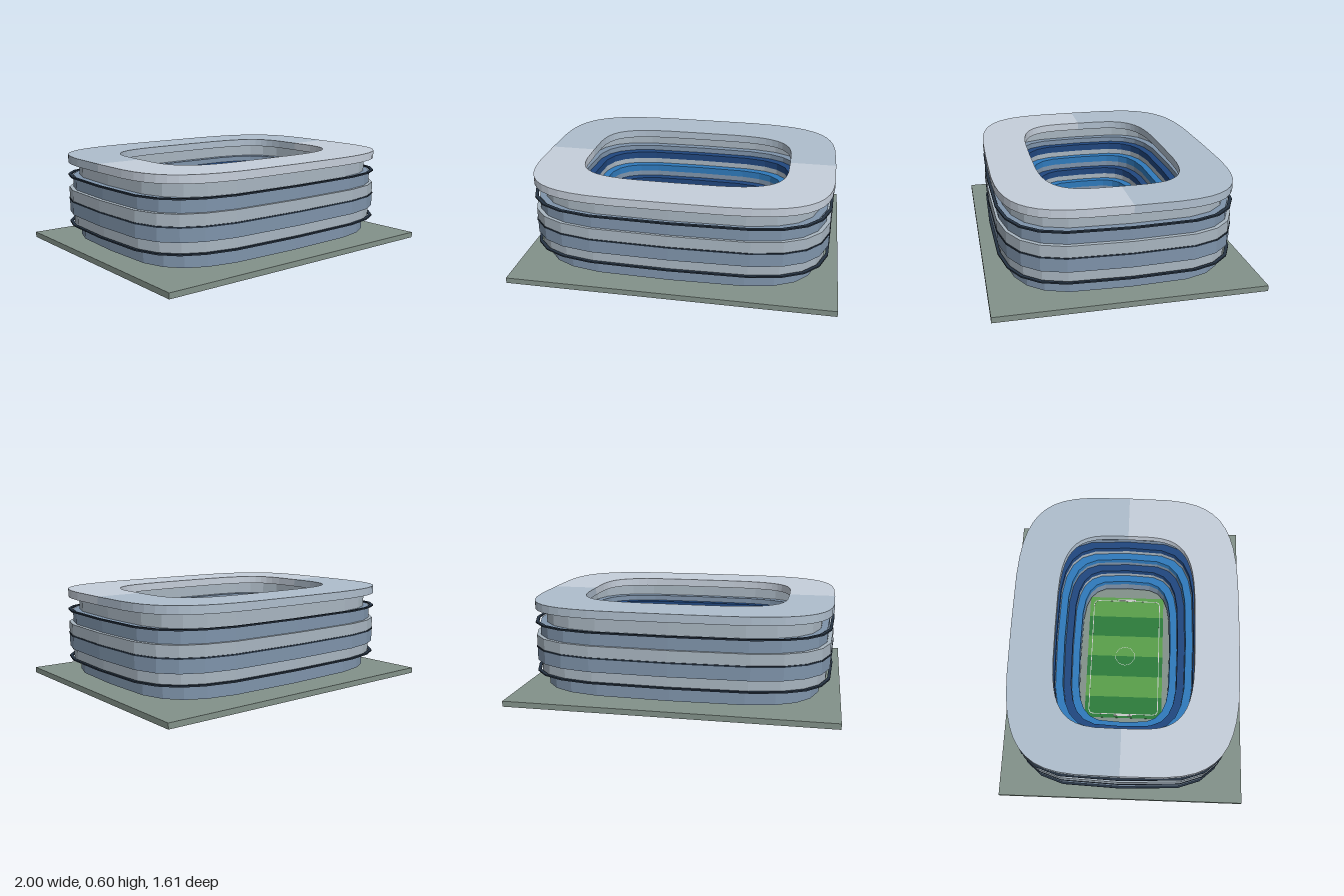
import * as THREE from 'three';

const POWER = 0.5; // roundness of the rounded-rectangle plan

function mat(color) {
  return new THREE.MeshStandardMaterial({ color, flatShading: true });
}

// Points of a superellipse from angle t0 to t1
function oval(a, b, n, t0 = 0, t1 = Math.PI * 2, closed = true) {
  const pts = [];
  const curve = (v) => (Math.abs(v) < 1e-9 ? 0 : Math.sign(v) * Math.abs(v) ** POWER);
  for (let i = 0; i < n + (closed ? 0 : 1); i++) {
    const t = t0 + ((t1 - t0) * i) / n;
    pts.push(new THREE.Vector2(a * curve(Math.cos(t)), b * curve(Math.sin(t))));
  }
  return pts;
}

// Stands a flat plan shape up as a slab from y to y + h
function slab(name, shape, y, h, material) {
  const geo = new THREE.ExtrudeGeometry(shape, { depth: h, bevelEnabled: false, curveSegments: 6 });
  geo.rotateX(-Math.PI / 2);
  geo.translate(0, y, 0);
  const mesh = new THREE.Mesh(geo, material);
  mesh.name = name;
  return mesh;
}

function ring(name, outer, inner, y, h, material) {
  const shape = new THREE.Shape(oval(...outer, 24));
  shape.holes.push(new THREE.Path(oval(...inner, 24)));
  return slab(name, shape, y, h, material);
}

function box(name, w, h, d, x, y, z, material) {
  const mesh = new THREE.Mesh(new THREE.BoxGeometry(w, h, d), material);
  mesh.name = name;
  mesh.position.set(x, y, z);
  return mesh;
}

function roundedRect(path, a, b, r) {
  path.moveTo(-a + r, -b);
  path.lineTo(a - r, -b);
  path.quadraticCurveTo(a, -b, a, -b + r);
  path.lineTo(a, b - r);
  path.quadraticCurveTo(a, b, a - r, b);
  path.lineTo(-a + r, b);
  path.quadraticCurveTo(-a, b, -a, b - r);
  path.lineTo(-a, -b + r);
  path.quadraticCurveTo(-a, -b, -a + r, -b);
  return path;
}

function createPitch() {
  const pitch = new THREE.Group();
  pitch.name = 'pitch';
  const greens = [mat(0x2d7c3b), mat(0x59a04a)];
  const white = mat(0xe8e8e8);

  for (let i = 0; i < 6; i++) {
    pitch.add(box('grassStripe', 0.15, 0.004, 0.53, -0.375 + i * 0.15, 0.035, 0, greens[i % 2]));
  }

  // Markings
  const border = roundedRect(new THREE.Shape(), 0.426, 0.24, 0.04);
  border.holes.push(roundedRect(new THREE.Path(), 0.421, 0.235, 0.036));
  pitch.add(slab('touchline', border, 0.036, 0.002, white));
  const circle = new THREE.Mesh(new THREE.RingGeometry(0.067, 0.07, 10), white);
  circle.name = 'centreCircle';
  circle.rotation.x = -Math.PI / 2;
  circle.position.y = 0.038;
  pitch.add(circle);

  // Low goal frames at both ends
  for (const side of [-1, 1]) {
    const goal = new THREE.Group();
    goal.name = 'goal';
    goal.add(box('goalBar', 0.01, 0.004, 0.12, side * 0.432, 0.039, 0, white));
    for (const z of [-0.06, 0.06]) {
      goal.add(box('goalPost', 0.016, 0.004, 0.006, side * 0.429, 0.039, z, white));
    }
    pitch.add(goal);
  }
  return pitch;
}

export function createModel() {
  const group = new THREE.Group();

  group.add(box('ground', 2, 0.035, 1.61, 0, 0.0175, 0, mat(0x83928a)));
  group.add(createPitch());

  // Six stacked floors, bulging outward at mid height, opening upward inside
  const floorMats = [mat(0x7f94ab), mat(0xa9b6c1)];
  const seatMats = [mat(0x2f7abc), mat(0x20477f)];
  for (let i = 0; i < 6; i++) {
    const bulge = Math.sin((Math.PI * i) / 5);
    const y = 0.06 + 0.08 * i;
    const outer = [0.88 + 0.068 * bulge, 0.685 + 0.044 * bulge];
    const inner = [0.515 + 0.047 * i, 0.31 + 0.047 * i];
    group.add(ring('floorBand', outer, inner, y, i === 5 ? 0.085 : 0.08, floorMats[i % 2]));

    // Seating tier on the inner ledge of the floor
    if (i < 4) {
      const back = [inner[0] + 0.06, inner[1] + 0.06];
      group.add(ring('seatingTier', back, inner, y + 0.08, 0.045, seatMats[i % 2]));
    }
  }

  // Thin dark ledges around the outside
  const dark = mat(0x263342);
  for (const y of [0.147, 0.301, 0.457]) {
    group.add(ring('ledge', [0.948, 0.731], [0.93, 0.713], y, 0.009, dark));
  }

  // Roof in two halves, back and front
  for (const [name, start, color] of [['roofBack', 0, 0xafbecd], ['roofFront', Math.PI, 0xc6cfdb]]) {
    const outer = oval(0.945, 0.727, 24, start, start + Math.PI, false);
    const inner = oval(0.655, 0.445, 24, start, start + Math.PI, false).reverse();
    group.add(slab(name, new THREE.Shape([...outer, ...inner]), 0.545, 0.05, mat(color)));
  }

  return group;
}
